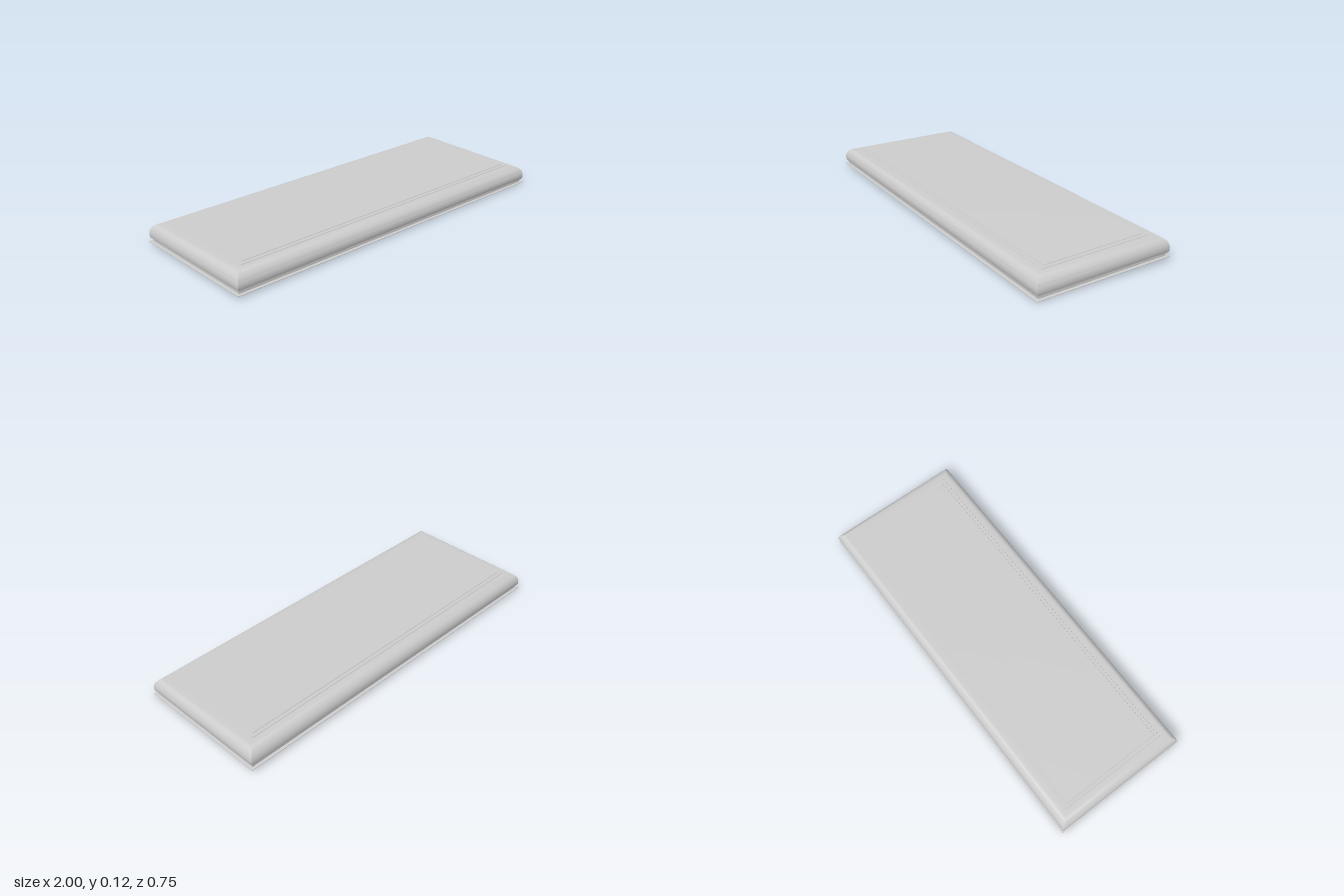
import * as THREE from 'three';
import { toCreasedNormals } from 'three/addons/utils/BufferGeometryUtils.js';

const HALF_X = 1, HALF_Z = 0.373;
const material = new THREE.MeshStandardMaterial({ color: 0xcccccc, side: THREE.DoubleSide });

// The whole slab leans back a touch and is slightly twisted
const warp = (x, y, z) => [x, y - 0.01 * z - 0.0135 * x * z, z];

// Mitred rectangular moulding: the profile lists [inset, height] from bottom to top
function moulding(name, profile) {
  const corners = [[-1, 1], [1, 1], [1, -1], [-1, -1]];
  const positions = [], index = [];
  corners.forEach((from, side) => {
    const to = corners[(side + 1) % 4];
    const base = positions.length / 3;
    for (const [inset, y] of profile) {
      for (const [sx, sz] of [from, to]) {
        positions.push(...warp(sx * (HALF_X - inset), y, sz * (HALF_Z - inset)));
      }
    }
    for (let i = 0; i < profile.length - 1; i++) {
      const a = base + i * 2;
      index.push(a, a + 1, a + 3, a, a + 3, a + 2);
    }
  });
  const geometry = new THREE.BufferGeometry();
  geometry.setAttribute('position', new THREE.Float32BufferAttribute(positions, 3));
  geometry.setIndex(index);
  const mesh = new THREE.Mesh(toCreasedNormals(geometry, 0.6), material);
  mesh.name = name;
  return mesh;
}

export function createModel() {
  const group = new THREE.Group();
  group.name = 'slab';

  // Thin flange around the open underside
  group.add(moulding('bottomFlange', [[0.015, 0.009], [0, 0.009], [0, 0.012], [0.015, 0.013]]));

  // Recessed band between flange and rounded edge
  group.add(moulding('recessedBand', [[0.015, 0.009], [0.015, 0.029]]));

  // Rounded edge: small lip, upright face, quarter round, flat rim
  const edge = [[0.015, 0.029], [0.007, 0.031], [0.004, 0.038]];
  for (let i = 0; i <= 10; i++) {
    const a = (i / 10) * Math.PI / 2;
    edge.push([0.053 - 0.05 * Math.cos(a), 0.052 + 0.055 * Math.sin(a)]);
  }
  edge.push([0.073, 0.108]);
  group.add(moulding('roundedEdge', edge));

  // Two shallow steps framing the top
  group.add(moulding('steppedFrame', [[0.073, 0.108], [0.075, 0.112], [0.093, 0.112], [0.095, 0.116]]));

  // Flat top panel
  const panel = new THREE.PlaneGeometry(2 * (HALF_X - 0.095), 2 * (HALF_Z - 0.095), 12, 6);
  panel.rotateX(-Math.PI / 2);
  const p = panel.attributes.position;
  for (let i = 0; i < p.count; i++) p.setXYZ(i, ...warp(p.getX(i), 0.116, p.getZ(i)));
  panel.computeVertexNormals();
  const top = new THREE.Mesh(panel, material);
  top.name = 'topPanel';
  group.add(top);

  return group;
}
